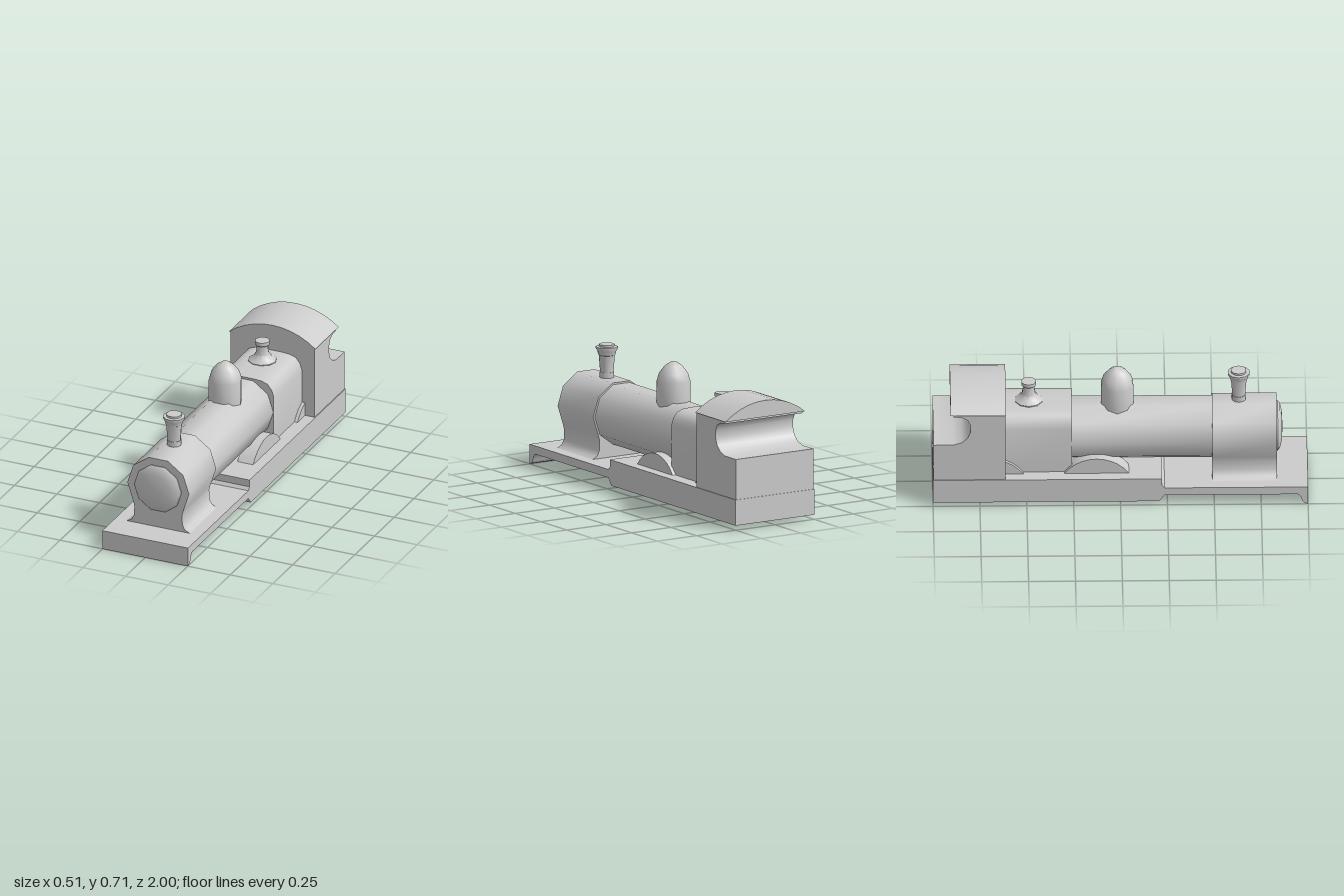
import * as THREE from 'three';
import { toCreasedNormals } from 'three/addons/utils/BufferGeometryUtils.js';

const material = new THREE.MeshStandardMaterial({ color: 0xcccccc });
const SIDES = 10;
const AXIS_Y = 0.338; // boiler centre line
const DECK_Y = 0.165; // top of the raised running plate

const toShape = (pts) => new THREE.Shape(pts.map(([a, b]) => new THREE.Vector2(a, b)));

// Full outline from its right half, listed bottom to top
const mirrored = (half) => [...half, ...half.map(([x, y]) => [-x, y]).reverse()];

export function createModel() {
  const model = new THREE.Group();
  model.name = 'tankLocomotive';

  const add = (name, geometry, crease = 0.7) => {
    const mesh = new THREE.Mesh(toCreasedNormals(geometry, crease), material);
    mesh.name = name;
    model.add(mesh);
    return mesh;
  };

  // (x, y) outline extruded between two z positions
  const alongZ = (name, pts, back, front) => {
    const g = new THREE.ExtrudeGeometry(toShape(pts), { depth: front - back, bevelEnabled: false });
    return add(name, g.translate(0, 0, back));
  };

  // (z, y) side profile extruded between two x positions
  const alongX = (name, pts, x0, x1) => {
    const g = new THREE.ExtrudeGeometry(toShape(pts), { depth: x1 - x0, bevelEnabled: false });
    return add(name, g.rotateY(-Math.PI / 2).translate(x1, 0, 0));
  };

  // (radius, height) profile turned about a vertical axis
  const turned = (pts) => new THREE.LatheGeometry(
    pts.map(([r, y]) => new THREE.Vector2(r, y)), SIDES, Math.PI / 2);

  // Running plate with curved front apron and raised rear deck
  alongX('runningPlate', [
    [1, 0], [1, 0.108], [0.235, 0.108], [0.22, 0.125], [0.22, DECK_Y], [-1, DECK_Y],
    [-1, 0.025], [0.205, 0.025], [0.222, 0.045], [0.235, 0.063], [0.945, 0.063],
    [0.96, 0.05], [0.968, 0.025], [0.98, 0.008],
  ], -0.252, 0.252);

  // Smokebox flaring into its saddle
  const smokebox = [[0.185, 0.108], [0.156, 0.123], [0.142, 0.15], [0.14, 0.205]];
  for (let i = -1; i <= 2; i++) {
    const a = i * Math.PI / 5;
    smokebox.push([0.181 * Math.cos(a), AXIS_Y + 0.181 * Math.sin(a)]);
  }
  alongZ('smokebox', mirrored(smokebox), 0.49, 0.835);

  // Domed smokebox door
  add('smokeboxDoor', turned([[0.138, 0.83], [0.138, 0.84], [0.125, 0.852], [0.085, 0.862], [0, 0.867]])
    .rotateX(Math.PI / 2).translate(0, AXIS_Y, 0));

  // Boiler barrel
  add('boiler', turned([[0, -0.27], [0.171, -0.27], [0.171, 0.5], [0, 0.5]])
    .rotateX(Math.PI / 2).translate(0, AXIS_Y, 0));

  // Round-shouldered firebox
  alongZ('firebox', mirrored([
    [0.173, DECK_Y], [0.173, 0.43], [0.161, 0.467], [0.137, 0.497], [0.1, 0.51], [0.05, 0.513],
  ]), -0.62, -0.257);

  // Fittings standing on the boiler
  add('chimney', turned([
    [0.039, 0.49], [0.039, 0.54], [0.036, 0.54], [0.043, 0.632], [0.046, 0.634], [0.05, 0.652],
    [0.06, 0.67], [0.06, 0.678], [0.042, 0.68], [0.042, 0.691], [0, 0.691],
  ])).position.z = 0.633;

  add('steamDome', turned([
    [0.09, 0.45], [0.09, 0.61], [0.077, 0.652], [0.047, 0.691], [0.014, 0.713], [0, 0.714],
  ])).position.z = -0.015;

  add('safetyValve', turned([
    [0.077, 0.505], [0.077, 0.517], [0.052, 0.532], [0.038, 0.552], [0.033, 0.58],
    [0.033, 0.603], [0.04, 0.609], [0.04, 0.629], [0, 0.629],
  ])).position.z = -0.487;

  // Wheel splashers, the rear pair running into the cab
  const splasher = [];
  const halfAngle = Math.asin(0.172 / 0.21);
  for (let i = 0; i <= 10; i++) {
    const a = halfAngle * (1 - i / 5);
    splasher.push([0.21 * Math.sin(a), 0.045 + 0.21 * Math.cos(a)]);
  }
  for (const [end, z] of [['front', -0.127], ['rear', -0.69]]) {
    const pts = splasher.map(([dz, y]) => [z + dz, y]).reverse();
    alongX(end + 'SplasherLeft', pts, 0.1, 0.192);
    alongX(end + 'SplasherRight', pts, -0.192, -0.1);
  }

  // Cab and bunker with a scooped rear opening
  alongX('cab', [
    [-0.615, DECK_Y], [-0.615, 0.575], [-0.89, 0.575], [-0.89, 0.56], [-0.845, 0.556],
    [-0.815, 0.54], [-0.801, 0.51], [-0.8, 0.465], [-0.815, 0.428], [-0.845, 0.4],
    [-0.89, 0.385], [-0.997, 0.385], [-0.997, DECK_Y],
  ], -0.247, 0.247);

  // Arched roof
  const roof = [];
  const rise = 0.09, halfWidth = 0.254;
  const radius = (halfWidth ** 2 + rise ** 2) / (2 * rise);
  const sweep = Math.asin(halfWidth / radius);
  for (let i = 0; i <= 10; i++) {
    const a = sweep * (1 - i / 5);
    roof.push([radius * Math.sin(a), 0.573 + rise - radius + radius * Math.cos(a)]);
  }
  alongZ('cabRoof', roof, -0.907, -0.611);

  return model;
}
